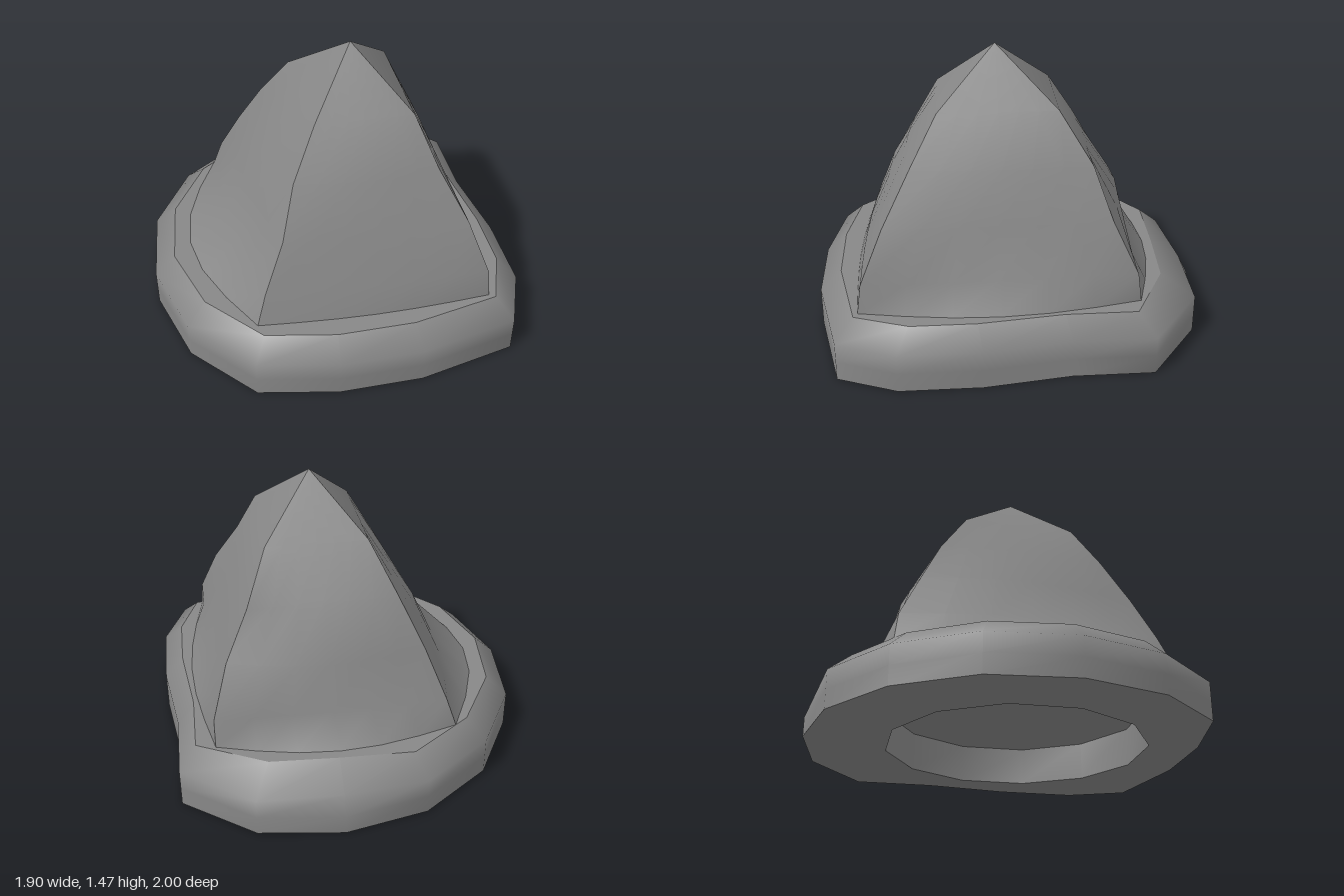
import * as THREE from 'three';
import { toCreasedNormals } from 'three/addons/utils/BufferGeometryUtils.js';

const material = new THREE.MeshStandardMaterial({ color: 0x878787 });

// Grid of points (rows of [x, y, z]) to a smooth surface; rows run upwards, clockwise from above.
function loft(rows) {
  const n = rows[0].length, index = [];
  for (let i = 0; i < rows.length - 1; i++) {
    for (let j = 0; j < n - 1; j++) {
      const a = i * n + j, b = a + 1, c = a + n, d = c + 1;
      index.push(a, c, b, b, c, d);
    }
  }
  const g = new THREE.BufferGeometry();
  g.setAttribute('position', new THREE.Float32BufferAttribute(rows.flat(2), 3));
  g.setIndex(index);
  g.computeVertexNormals();
  return g;
}

function add(group, name, geometry) {
  const mesh = new THREE.Mesh(geometry, material);
  mesh.name = name;
  group.add(mesh);
}

// Plan outlines [x, z] of the base: foot, shoulder and top rim
const foot = [[0.1, -1], [0.53, -0.94], [0.89, -0.67], [0.89, -0.26], [0.95, 0.18], [0.95, 0.59],
  [0.83, 0.89], [0.32, 1], [-0.11, 1], [-0.52, 0.92], [-0.82, 0.59], [-0.95, 0.17],
  [-0.91, -0.27], [-0.69, -0.65], [-0.33, -0.91]];
const shoulder = foot.map(([x, z]) => [x, Math.max(z, -0.95)]);
const rim = [[0.1, -0.79], [0.45, -0.77], [0.8, -0.59], [0.8, -0.23], [0.85, 0.2], [0.85, 0.53],
  [0.75, 0.8], [0.3, 0.89], [-0.1, 0.89], [-0.46, 0.82], [-0.72, 0.53], [-0.84, 0.16],
  [-0.8, -0.23], [-0.6, -0.57], [-0.28, -0.8]];
// Round recess, centred below the peak
const recess = Array.from({ length: 12 }, (_, i) => {
  const a = (i + 0.5) * Math.PI / 6;
  return [0.085 + 0.68 * Math.cos(a), 0.085 + 0.68 * Math.sin(a)];
});

// Peak edges from bottom to top: [y, frontLeft, frontRight, backRight, backLeft]
const levels = [
  [0.3, [0.72, 0.78], [-0.48, 0.75], [-0.53, -0.62], [0.7, -0.62]],
  [0.45, [0.71, 0.76], [-0.43, 0.7], [-0.48, -0.6], [0.7, -0.6]],
  [0.7, [0.62, 0.65], [-0.32, 0.61], [-0.38, -0.49], [0.62, -0.48]],
  [0.95, [0.49, 0.51], [-0.24, 0.48], [-0.26, -0.38], [0.5, -0.39]],
  [1.2, [0.39, 0.37], [-0.11, 0.36], [-0.13, -0.23], [0.39, -0.23]],
  [1.47, [0.13, 0.07], [0.13, 0.07], [0.13, 0.07], [0.13, 0.07]],
];
// Outward swelling of each side at those levels
const sides = [
  { name: 'frontSide', dir: [0, 1], swell: [0.03, 0.02, 0.01, 0.03, 0, 0] },
  { name: 'rightSide', dir: [-1, 0], swell: [0.24, 0.09, 0.08, 0.03, 0, 0] },
  { name: 'backSide', dir: [0, -1], swell: [0.12, 0.01, 0.08, 0, 0, 0] },
  { name: 'leftSide', dir: [1, 0], swell: [0.09, 0, 0, 0.02, 0, 0] },
];

export function createModel() {
  const model = new THREE.Group();
  model.name = 'peakOnBase';

  // Base: wall with a bevelled shoulder
  const base = new THREE.Group();
  base.name = 'base';
  model.add(base);
  const ring = (pts, y) => [...pts, pts[0]].map(([x, z]) => [x, y, z]);
  const wall = loft([ring(foot, 0), ring(foot, 0.1), ring(shoulder, 0.2), ring(rim, 0.3)]);
  add(base, 'baseWall', toCreasedNormals(wall, 1.3));

  // Flat top of the base
  const shapeOf = (pts, sign) => new THREE.Shape(pts.map(([x, z]) => new THREE.Vector2(x, sign * z)));
  const top = new THREE.ShapeGeometry(shapeOf(rim, -1));
  add(base, 'baseTop', top.rotateX(-Math.PI / 2).translate(0, 0.3, 0));

  // Underside with the round recess
  const under = shapeOf(foot, 1);
  under.holes.push(shapeOf(recess, 1));
  add(base, 'underside', new THREE.ShapeGeometry(under).rotateX(Math.PI / 2));
  add(base, 'recessWall', toCreasedNormals(loft([ring(recess, 0.2), ring(recess, 0)]), 1.0));
  const ceiling = new THREE.ShapeGeometry(shapeOf(recess, 1));
  add(base, 'recessCeiling', ceiling.rotateX(Math.PI / 2).translate(0, 0.2, 0));

  // Four-sided peak: each side spans two curved edges and swells in the middle
  const peak = new THREE.Group();
  peak.name = 'peak';
  model.add(peak);
  const steps = 6;
  sides.forEach(({ name, dir, swell }, s) => {
    const rows = levels.map((level, k) => {
      const a = level[1 + s], b = level[1 + (s + 1) % 4];
      return Array.from({ length: steps + 1 }, (_, j) => {
        const t = j / steps, out = swell[k] * Math.sin(Math.PI * t);
        return [a[0] + (b[0] - a[0]) * t + dir[0] * out, level[0], a[1] + (b[1] - a[1]) * t + dir[1] * out];
      });
    });
    add(peak, name, loft(rows));
  });
  return model;
}
